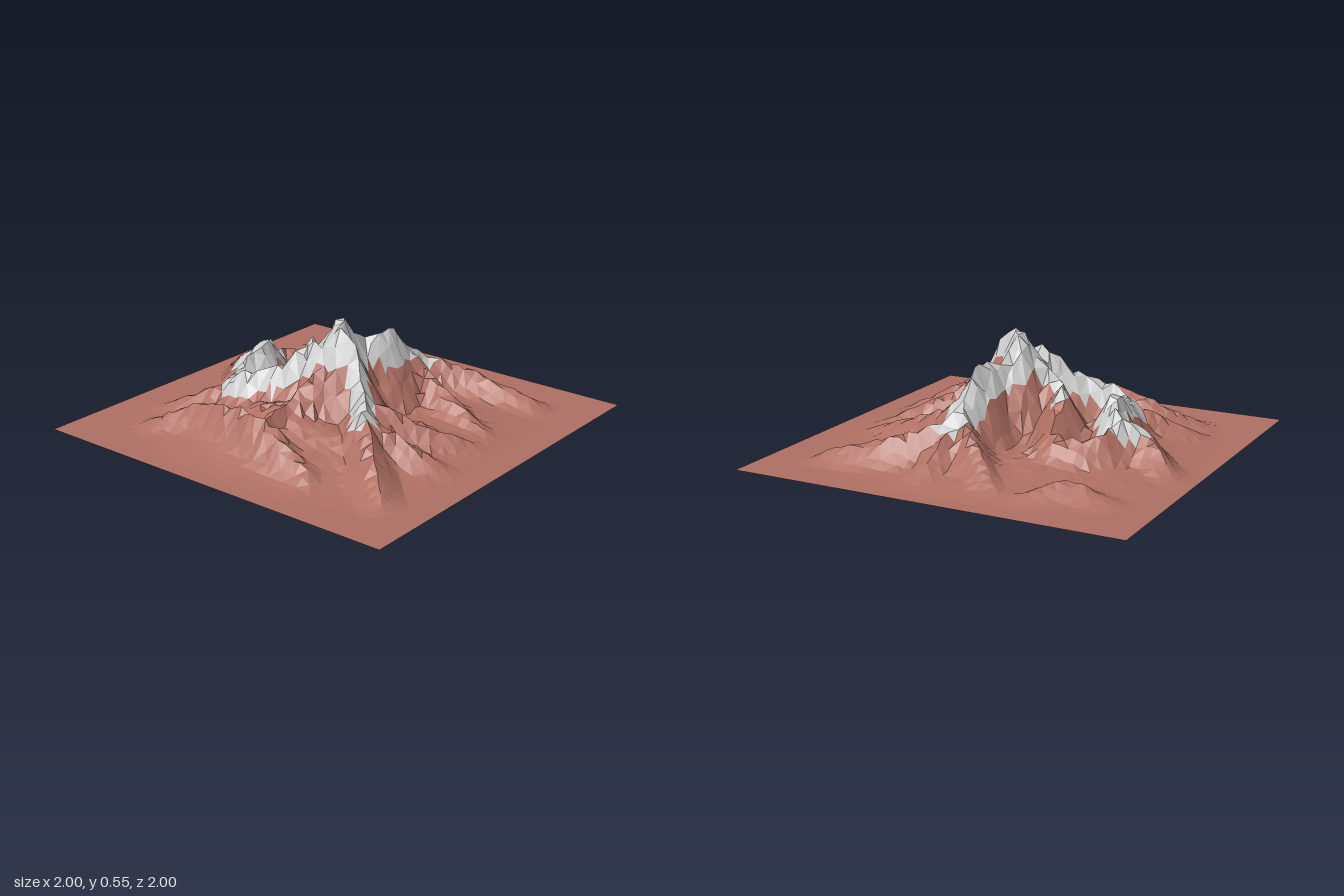
import * as THREE from 'three';

const CELLS = 48;
const { clamp, smoothstep, lerp } = THREE.MathUtils;

// A smooth crest line through [x, height, z] points
const crest = (...points) => new THREE.CatmullRomCurve3(points.map((p) => new THREE.Vector3(...p)));

const summit = [0.12, 0.53, 0.16];
const northArm = crest([0.13, 0.24, -0.47], [0.11, 0.31, -0.37], [0.13, 0.42, -0.24], [0.12, 0.43, -0.15], [0.08, 0.42, -0.06], [0.04, 0.55, 0.05], summit);
const westArm = crest(summit, [-0.03, 0.43, 0.21], [-0.15, 0.33, 0.27], [-0.37, 0.23, 0.35], [-0.47, 0.22, 0.22], [-0.47, 0.31, 0.04], [-0.56, 0.22, -0.1], [-0.64, 0.2, -0.03]);
const southArm = crest(summit, [0.19, 0.47, 0.16], [0.3, 0.29, 0.23], [0.42, 0.25, 0.36]);
const innerSpur = crest([-0.26, 0.33, -0.09], [-0.17, 0.32, 0.05], [0.03, 0.47, 0.12]);
const bowlRim = crest([-0.56, 0.2, -0.1], [-0.5, 0.16, -0.25], [-0.33, 0.16, -0.3], [-0.26, 0.3, -0.1]);
const frontRidge = crest([-0.62, 0.05, 0.66], [-0.45, 0.13, 0.57], [0.02, 0.19, 0.62], [0.35, 0.08, 0.7]);
const frontButtress = crest([0.09, 0.36, 0.27], [0.05, 0.23, 0.42], [0.02, 0.19, 0.62]);
const northEastRidge = crest([0.15, 0.21, -0.5], [0.35, 0.15, -0.61], [0.68, 0.06, -0.67]);
const backRidge = crest([-0.74, 0.03, -0.64], [-0.55, 0.08, -0.64], [-0.4, 0.03, -0.78]);

// A bare spur leaving an arm and sagging down to the plain
function spur(arm, t, x, z, endHeight = 0.04) {
  const start = arm.getPoint(t);
  const middle = [lerp(start.x, x, 0.5), lerp(start.y, endHeight, 0.55), lerp(start.z, z, 0.5)];
  return crest([start.x, start.y * 0.94, start.z], middle, [x, endHeight, z]);
}

const spurs = [
  spur(northArm, 0.1, -0.23, -0.75),
  spur(northArm, 0, 0.14, -0.76),
  spur(northArm, 0.15, 0.72, -0.2),
  spur(southArm, 1, 0.76, 0.68),
  spur(southArm, 0.95, 0.78, 0.24),
  spur(southArm, 0.7, 0.75, -0.05),
  spur(westArm, 1, -0.92, -0.22),
  spur(westArm, 0.48, -0.72, 0.45),
];

// Every crest as a polyline, with the half-width of its snow cap (0 for bare rock)
const ridge = (curve, cap) => ({ cap, points: curve.getPoints(16) });
const bareRidges = [bowlRim, frontRidge, frontButtress, northEastRidge, backRidge, ...spurs];
const ridges = [
  ridge(northArm, 0.085), ridge(westArm, 0.08), ridge(southArm, 0.06), ridge(innerSpur, 0.04),
  ...bareRidges.map((curve) => ridge(curve, 0)),
];

// Repeatable noise in -1..1
function noise(i, j, k) {
  const s = Math.sin(i * 127.1 + j * 311.7 + k * 74.7) * 43758.5453;
  return (s - Math.floor(s)) * 2 - 1;
}

// Distance to a crest segment and the crest height at the nearest point
function nearest(x, z, a, b) {
  const dx = b.x - a.x, dz = b.z - a.z;
  const t = clamp(((x - a.x) * dx + (z - a.z) * dz) / (dx * dx + dz * dz), 0, 1);
  return { distance: Math.hypot(x - a.x - t * dx, z - a.z - t * dz), crestHeight: lerp(a.y, b.y, t) };
}

// Low ground: a gentle skirt with a broad shelf in front of the summit
function groundHeight(x, z) {
  const skirt = 0.06 * (1 - smoothstep(Math.hypot(x, z), 0.4, 1.05));
  const shelf = 0.12 * Math.exp(-((x / 0.36) ** 2) - ((z - 0.44) / 0.2) ** 2);
  return skirt + shelf;
}

// The tallest steep flank over the low ground; snow is positive inside a cap
function sample(x, z) {
  let flank = 0, snow = -1;
  for (const { cap, points } of ridges) {
    for (let i = 1; i < points.length; i++) {
      const { distance, crestHeight } = nearest(x, z, points[i - 1], points[i]);
      const reach = 0.1 + 0.36 * crestHeight;
      const slope = clamp(1 - (distance - 0.012) / reach, 0, 1);
      flank = Math.max(flank, crestHeight * slope ** 1.3);
      if (cap) snow = Math.max(snow, cap - distance);
    }
  }
  const ground = groundHeight(x, z);
  return { height: Math.max(flank, ground) + 0.12 * Math.min(flank, ground), snow };
}

// One grid corner, with craggy offsets that grow with height and fade at the border
function terrainPoint(i, j) {
  const x = (i / CELLS) * 2 - 1, z = (j / CELLS) * 2 - 1;
  const fade = smoothstep(1 - Math.max(Math.abs(x), Math.abs(z)), 0, 0.25);
  const crag = Math.min(1, sample(x, z).height / 0.25) * fade;
  const px = x + noise(i, j, 1) * 0.014 * crag;
  const pz = z + noise(i, j, 2) * 0.008 * crag;
  const y = sample(px, pz).height * fade + noise(i, j, 3) * 0.018 * crag;
  return new THREE.Vector3(px, clamp(y, 0, 0.555), pz);
}

// Triangles of the whole sheet, sorted into rock and snow
function createTerrain() {
  const rows = Array.from({ length: CELLS + 1 }, (_, j) =>
    Array.from({ length: CELLS + 1 }, (_, i) => terrainPoint(i, j)));
  const rock = [], snow = [];
  const addFace = (...corners) => {
    const x = (corners[0].x + corners[1].x + corners[2].x) / 3;
    const z = (corners[0].z + corners[1].z + corners[2].z) / 3;
    (sample(x, z).snow > 0 ? snow : rock).push(...corners);
  };
  for (let j = 0; j < CELLS; j++) {
    for (let i = 0; i < CELLS; i++) {
      const a = rows[j][i], b = rows[j][i + 1], c = rows[j + 1][i], d = rows[j + 1][i + 1];
      if ((i + j) % 2) {
        addFace(a, c, b);
        addFace(b, c, d);
      } else {
        addFace(a, c, d);
        addFace(a, d, b);
      }
    }
  }
  return { rock, snow };
}

function makeMesh(name, points, color) {
  const geometry = new THREE.BufferGeometry().setFromPoints(points);
  geometry.computeVertexNormals();
  const material = new THREE.MeshStandardMaterial({ color, flatShading: true, side: THREE.DoubleSide });
  const mesh = new THREE.Mesh(geometry, material);
  mesh.name = name;
  return mesh;
}

export function createModel() {
  const group = new THREE.Group();
  group.name = 'mountain';
  const { rock, snow } = createTerrain();
  group.add(makeMesh('rockSlopes', rock, 0xb07064), makeMesh('snowCaps', snow, 0xcccccc));
  return group;
}
